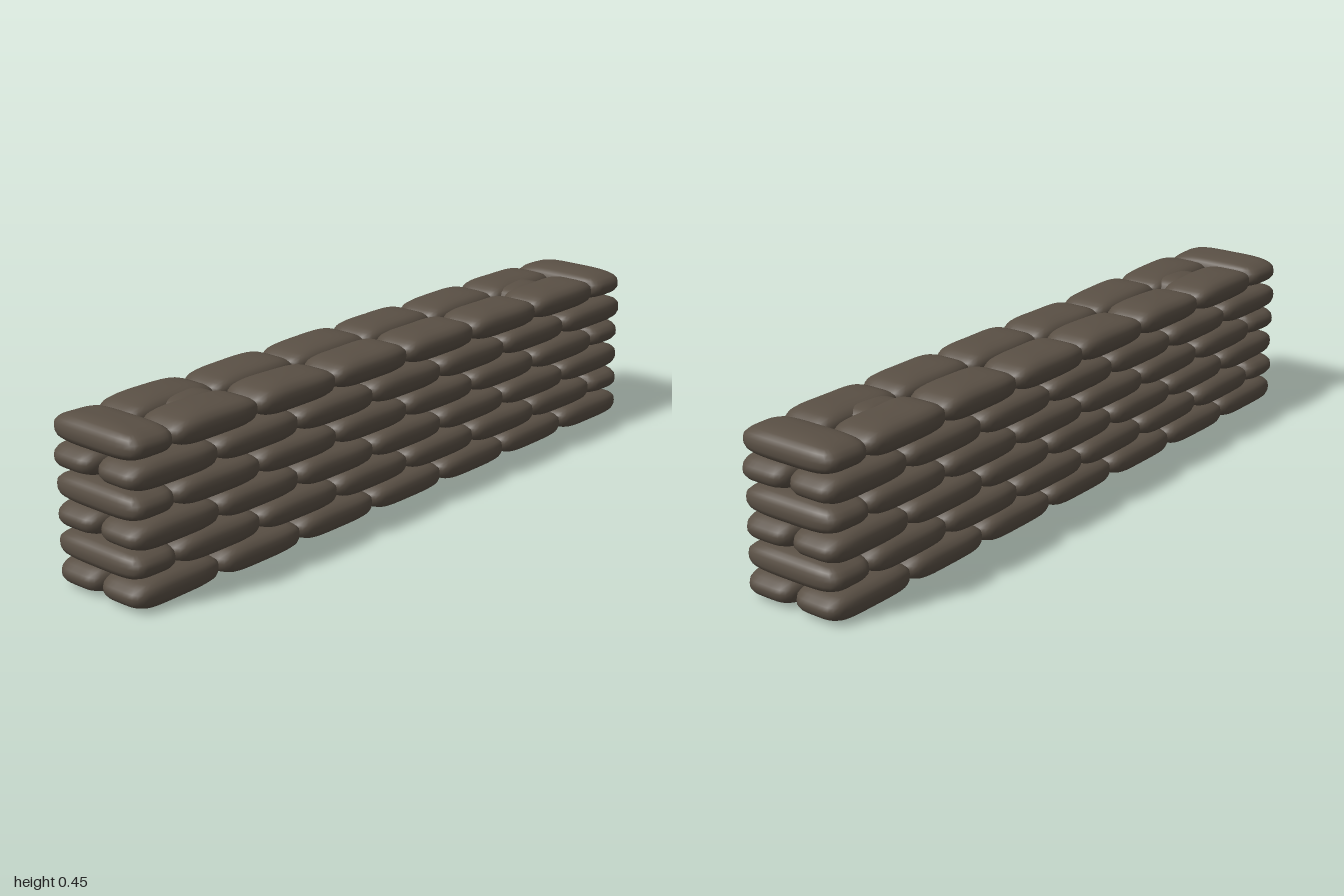
import * as THREE from 'three';
import { mergeVertices } from 'three/addons/utils/BufferGeometryUtils.js';

// Small seeded generator for slight irregularity between bags
function seeded(seed) {
  return () => {
    seed = (seed * 16807) % 2147483647;
    return seed / 2147483647 - 0.5;
  };
}

// Pillow-shaped bag: squarish plan, rounded sides, flatter underside, unit half-size
function pillowGeometry() {
  const geo = new THREE.BoxGeometry(2, 2, 2, 12, 6, 10);
  geo.deleteAttribute('uv');
  geo.deleteAttribute('normal');
  const merged = mergeVertices(geo, 1e-4);
  const pos = merged.attributes.position;
  const v = new THREE.Vector3();
  const plan = 4.6;
  for (let i = 0; i < pos.count; i++) {
    v.fromBufferAttribute(pos, i);
    const bulge = v.y > 0 ? 2.7 : 3.2;
    const flat = Math.pow(Math.abs(v.x) ** plan + Math.abs(v.z) ** plan, 1 / plan);
    v.divideScalar(Math.pow(flat ** bulge + Math.abs(v.y) ** bulge, 1 / bulge));
    pos.setXYZ(i, v.x, v.y, v.z);
  }
  return merged;
}

export function createModel() {
  const wall = new THREE.Group();
  wall.name = 'sandbagWall';
  const cloth = new THREE.MeshStandardMaterial({ name: 'brown sackcloth', color: 0x5a5045 });
  const pillow = pillowGeometry();
  const rand = seeded(4271);

  const rows = 6, pitch = 0.0748, bagHeight = 0.079, depth = 0.157;

  // One bag filling the given x and z span, standing on y
  function addBag(parent, name, x0, x1, z0, z1, y, height = bagHeight) {
    const geo = pillow.clone();
    const hx = (x1 - x0) / 2 + 0.003, hz = (z1 - z0) / 2;
    const pos = geo.attributes.position;
    const lean = rand() * 0.1, wave = rand() * 6;
    for (let i = 0; i < pos.count; i++) {
      const x = pos.getX(i), y = pos.getY(i), z = pos.getZ(i);
      // uneven filling across the upper side
      const sag = y > 0 ? 1 + lean * x * 0.7 + 0.03 * Math.sin(3 * x + wave) - 0.03 : 1;
      pos.setXYZ(i, x * hx, y * sag * height / 2, z * hz * (1 + lean * x * 0.4));
    }
    geo.computeVertexNormals();
    const bag = new THREE.Mesh(geo, cloth);
    bag.name = name;
    bag.position.set((x0 + x1) / 2, y + height / 2, (z0 + z1) / 2 + rand() * 0.006);
    bag.rotation.y = rand() * 0.025;
    parent.add(bag);
  }

  for (let r = 0; r < rows; r++) {
    const course = new THREE.Group();
    course.name = `course${r + 1}`;
    const y = 0.002 + r * pitch;
    const headed = r % 2 === 1;
    const count = headed ? 6 : 7;
    const start = headed ? -0.852 : -0.995;
    const step = -2 * start / count;

    // Two lengthwise lines of bags
    for (let i = 0; i < count; i++) {
      const x0 = start + i * step;
      addBag(course, 'frontBag', x0, x0 + step, -0.002, depth, y);
      addBag(course, 'backBag', x0, x0 + step, -depth, 0.002, y);
    }

    // Crosswise end bags and small filler bags in alternate courses
    if (headed) {
      for (const s of [-1, 1]) {
        const xe = s * 0.923, xf = s * 0.675;
        addBag(course, 'endBag', xe - 0.073, xe + 0.073, -depth + 0.003, depth - 0.003, y);
        addBag(course, 'fillerBag', xf - 0.08, xf + 0.08, -0.05, 0.045, y, bagHeight - 0.005);
      }
    }
    wall.add(course);
  }
  return wall;
}
